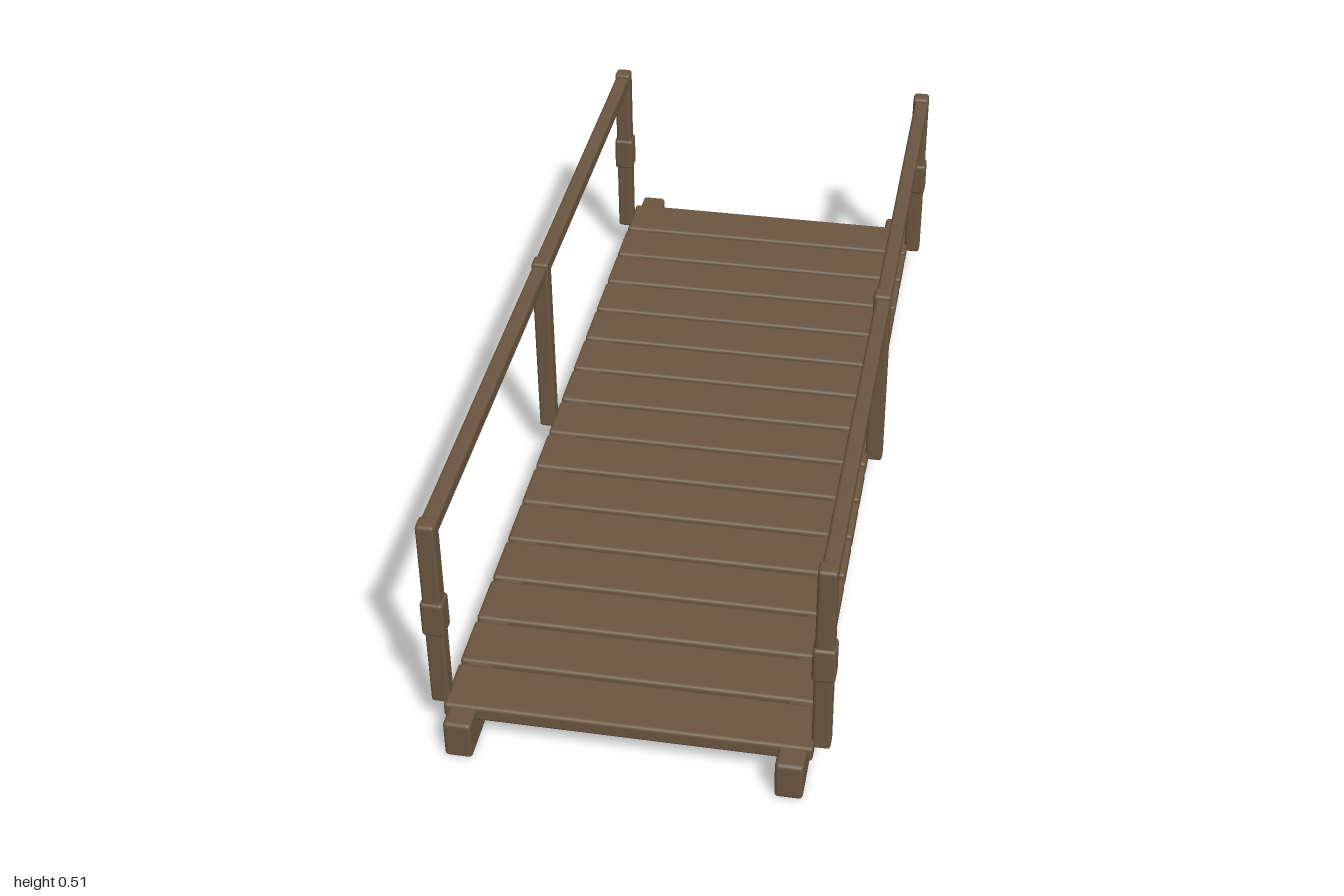
import * as THREE from 'three';
import { RoundedBoxGeometry } from 'three/addons/geometries/RoundedBoxGeometry.js';

export function createModel() {
  const model = new THREE.Group();
  model.name = 'woodenFootbridge';
  const wood = new THREE.MeshStandardMaterial({ color: 0x6b5640 });
  wood.name = 'brown wood';

  // Softly bevelled timber given by its extents on each axis
  function timber(name, parent, [x0, x1], [y0, y1], [z0, z1], bevel = 0.007) {
    const geometry = new RoundedBoxGeometry(x1 - x0, y1 - y0, z1 - z0, 2, bevel);
    const mesh = new THREE.Mesh(geometry, wood);
    mesh.name = name;
    mesh.position.set((x0 + x1) / 2, (y0 + y1) / 2, (z0 + z1) / 2);
    parent.add(mesh);
  }

  // Walking deck of cross planks
  const deck = new THREE.Group();
  deck.name = 'deck';
  const count = 15, pitch = 0.1272, width = 0.119;
  for (let i = 0; i < count; i++) {
    const z = 0.002 + (i - (count - 1) / 2) * pitch;
    timber('plank', deck, [-0.361, 0.361], [0.056, 0.09], [z - width / 2, z + width / 2]);
  }
  model.add(deck);

  // Beam and handrail on each side
  for (const side of [-1, 1]) {
    const span = (inner, outer) => (side > 0 ? [inner, outer] : [-outer, -inner]);
    const name = side > 0 ? 'left' : 'right';

    timber(name + 'Beam', model, span(0.295, 0.35), [0, 0.085], [-1, 1], 0.008);

    const railing = new THREE.Group();
    railing.name = name + 'Railing';
    timber('handrail', railing, span(0.359, 0.391), [0.467, 0.501], [-0.921, 0.924]);
    for (const z of [-0.885, 0.002, 0.911]) {
      timber('post', railing, span(0.355, 0.392), [0.07, 0.51], [z - 0.018, z + 0.018]);
      // Sleeve around the end posts
      if (Math.abs(z) > 0.5) {
        timber('sleeve', railing, span(0.351, 0.396), [0.245, 0.325], [z - 0.023, z + 0.023]);
      }
    }
    model.add(railing);
  }
  return model;
}
